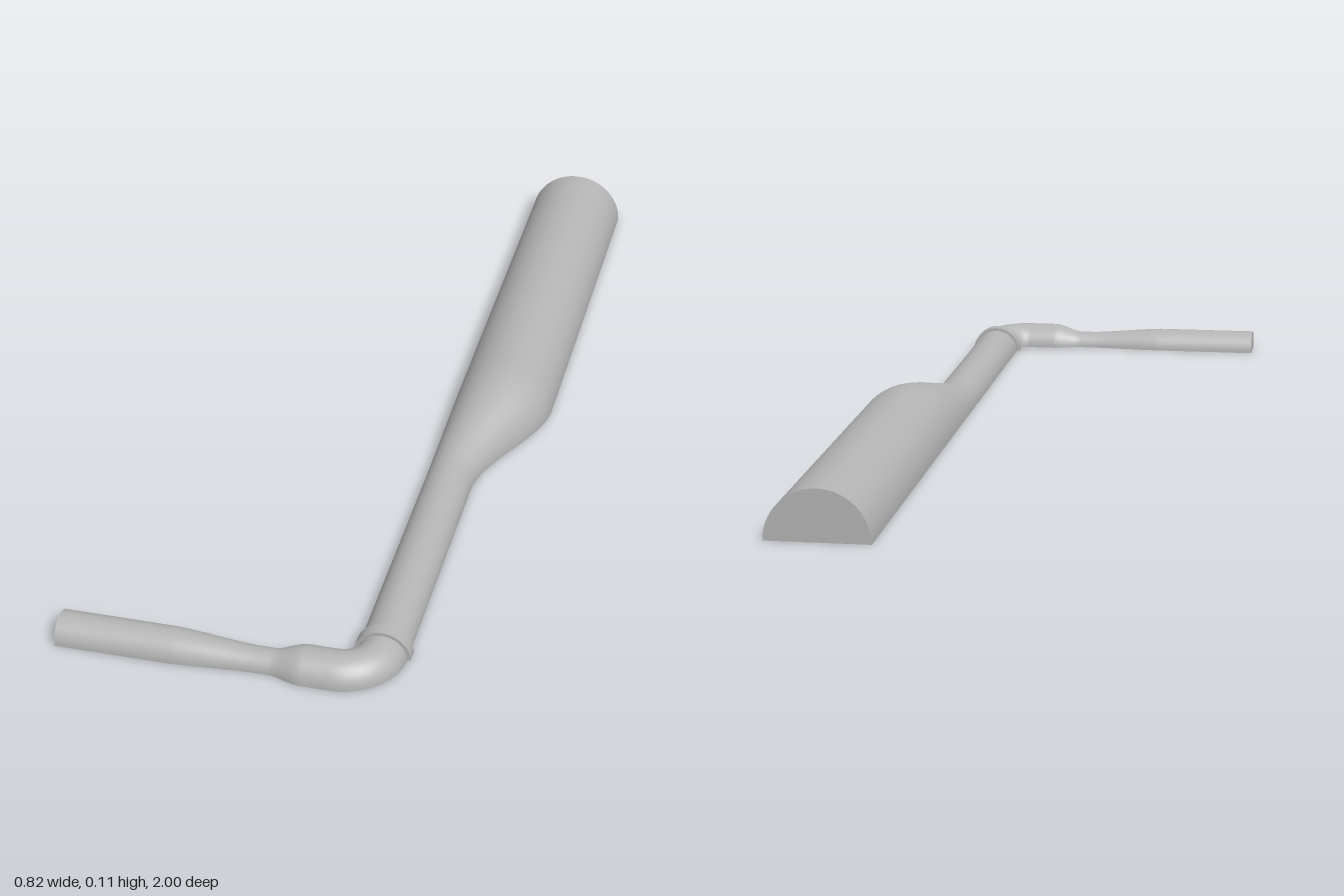
import * as THREE from 'three';

const ARC = 32; // segments around each half-round section

// Sweep half-round sections; each station is [x, z, radius, heading angle].
function halfRound(name, stations, material, capStart = false, capEnd = false) {
  const pos = [], idx = [];
  const rows = stations.map(([x, z, r, a = 0]) => {
    const row = [];
    for (let j = 0; j <= ARC; j++) {
      const t = (j / ARC) * Math.PI, s = r * Math.cos(t);
      row.push([x + s * Math.cos(a), r * Math.sin(t), z + s * Math.sin(a)]);
    }
    return row;
  });
  const strip = (lines) => {
    const base = pos.length / 3, n = lines[0].length;
    lines.flat().forEach((p) => pos.push(...p));
    for (let i = 0; i < lines.length - 1; i++) {
      for (let j = 0; j < n - 1; j++) {
        const a = base + i * n + j, c = a + n;
        idx.push(a, a + 1, c, a + 1, c + 1, c);
      }
    }
  };
  const cap = (row, flip) => {
    const base = pos.length / 3;
    row.forEach((p) => pos.push(...p));
    for (let j = 1; j < ARC; j++) {
      idx.push(base, base + (flip ? j + 1 : j), base + (flip ? j : j + 1));
    }
  };
  strip(rows); // curved shell
  strip(rows.map((row) => [row[ARC], row[0]])); // flat underside
  if (capStart) cap(rows[0], true);
  if (capEnd) cap(rows[rows.length - 1], false);

  const geometry = new THREE.BufferGeometry();
  geometry.setAttribute('position', new THREE.Float32BufferAttribute(pos, 3));
  geometry.setIndex(idx);
  geometry.computeVertexNormals();
  const mesh = new THREE.Mesh(geometry, material);
  mesh.name = name;
  return mesh;
}

// Stations between two values, blended by a smooth step.
function blend(count, make) {
  return Array.from({ length: count + 1 }, (_, i) => {
    const t = i / count;
    return make(t, t * t * (3 - 2 * t));
  });
}

export function createModel() {
  const group = new THREE.Group();
  group.name = 'halfPipe';
  const grey = new THREE.MeshStandardMaterial({ color: 0xb4b4b4 });
  grey.name = 'grey';

  const lerp = THREE.MathUtils.lerp;
  const R = 0.109, r = 0.052, left = 0.191;
  const pipeX = left + r, armZ = 0.948, bend = 0.078;
  const bendX = pipeX - bend, bendZ = armZ - bend;
  const quarter = Math.PI / 2;

  // Wide straight section at the back
  group.add(halfRound('widePipe', [[left + R, -1, R], [left + R, -0.09, R]], grey, true));

  // Eccentric reducer: one side stays straight
  group.add(halfRound('reducer', blend(20, (t, s) => {
    const rad = lerp(R, r, s);
    return [left + rad, lerp(-0.09, 0.26, t), rad];
  }), grey));

  // Narrow straight section and its collar
  group.add(halfRound('narrowPipe', [[pipeX, 0.26, r], [pipeX, bendZ, r]], grey));
  group.add(halfRound('collar', [[pipeX, 0.84, 0.059], [pipeX, 0.87, 0.059]], grey, true, true));

  // Right-angle elbow
  group.add(halfRound('elbow', blend(20, (t) => {
    const a = t * quarter;
    return [bendX + bend * Math.cos(a), bendZ + bend * Math.sin(a), r, a];
  }), grey));

  // Side arm with a narrowed throat
  const arm = (x, rad) => [x, armZ, rad, quarter];
  group.add(halfRound('sideArm', [
    arm(bendX, r),
    ...blend(12, (t, s) => arm(lerp(0.105, 0.035, t), lerp(r, 0.034, s))),
    ...blend(12, (t, s) => arm(lerp(0, -0.17, t), lerp(0.034, 0.047, lerp(t, s, 0.4)))),
    arm(-0.41, 0.047),
  ], grey, false, true));

  return group;
}
